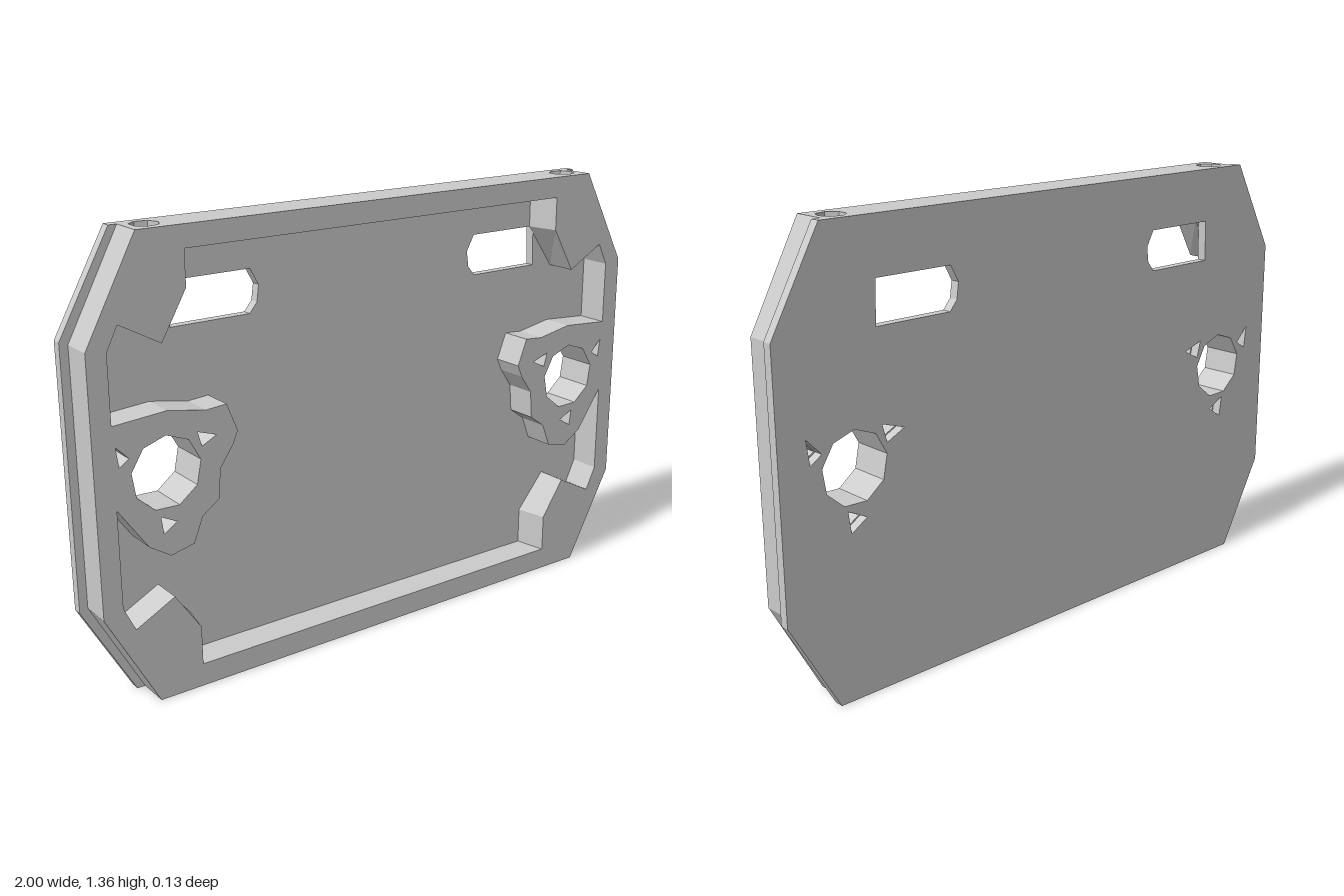
import * as THREE from 'three';

const H = 1.36, BACK = -0.064, STEP = -0.034, FRONT = 0.067;
const POCKET_X = 0.675;

const mirrorX = (pts) => pts.map(([x, y]) => [-x, y]);

// Path or shape that always runs counter-clockwise, so every wall faces out
function path(pts, Type = THREE.Path) {
  const v = pts.map(([x, y]) => new THREE.Vector2(x, y));
  return new Type(THREE.ShapeUtils.isClockWise(v) ? v.reverse() : v);
}

// Closes a right-hand profile (top to bottom) with its mirror image
const symmetric = (half) => [...half, ...mirrorX(half).reverse()];

// Polygon with n sides
const ngon = (cx, cy, r, n, turn = 0) => Array.from({ length: n }, (_, i) => {
  const a = turn + (i / n) * Math.PI * 2;
  return [cx + r * Math.cos(a), cy + r * Math.sin(a)];
});

// Enlarges a polygon about its middle
function grow(pts, s) {
  const cx = pts.reduce((t, p) => t + p[0], 0) / pts.length;
  const cy = pts.reduce((t, p) => t + p[1], 0) / pts.length;
  return pts.map(([x, y]) => [cx + (x - cx) * s, cy + (y - cy) * s]);
}

// Screw-block recess cut into the top and bottom edges
const BX0 = 0.7, BX1 = 0.81, BDEPTH = 0.16;

// Eight-sided outline with a recess for each screw block
function outline(edgeX, sideX, cornerY) {
  return symmetric([
    [BX0, H], [BX0, H - BDEPTH], [BX1, H - BDEPTH], [BX1, H],
    [edgeX, H], [sideX, H - cornerY], [sideX, cornerY], [edgeX, 0],
    [BX1, 0], [BX1, BDEPTH], [BX0, BDEPTH], [BX0, 0],
  ]);
}

// Right half of the front pocket, running round the mount and corner tabs
const pocketHalf = [
  [POCKET_X, 1.295], [POCKET_X, 1.19], [0.755, 1.05], [0.88, 1.12], [0.915, 1.05],
  [0.915, 0.85], [0.75, 0.862], [0.63, 0.84], [0.565, 0.845], [0.532, 0.76],
  [0.55, 0.72], [0.592, 0.66], [0.6, 0.57], [0.655, 0.53], [0.685, 0.455], [0.76, 0.438],
  [0.825, 0.48], [0.915, 0.61],
  [0.915, 0.32], [0.88, 0.245], [0.755, 0.31], [POCKET_X, 0.19], [POCKET_X, 0.07],
];

const slot = [[0.675, 1.06], [0.67, 1.19], [0.415, 1.19], [0.388, 1.14], [0.395, 1.09], [0.42, 1.06]];
const bore = ngon(0.76, 0.685, 0.108, 9, 0.2);
const pinHoles = [
  [[0.908, 0.79], [0.87, 0.75], [0.9, 0.73]],
  [[0.66, 0.782], [0.6, 0.762], [0.648, 0.738]],
  [[0.785, 0.56], [0.735, 0.535], [0.778, 0.507]],
];

function extrude(shape, z0, z1) {
  const g = new THREE.ExtrudeGeometry(shape, { depth: z1 - z0, bevelEnabled: false });
  return g.translate(0, 0, z0);
}

export function createModel() {
  const group = new THREE.Group();
  const material = new THREE.MeshStandardMaterial({ color: 0xcccccc, flatShading: true });
  const add = (name, geometry) => {
    const mesh = new THREE.Mesh(geometry, material);
    mesh.name = name;
    group.add(mesh);
    return mesh;
  };
  const cutBothSides = (shape, pts) =>
    shape.holes.push(path(pts), path(mirrorX(pts)));

  // Back plate, slightly wider than the frame
  const plate = path(outline(0.84, 1, 0.29), THREE.Shape);
  [slot, bore, ...pinHoles.map((t) => grow(t, 1.25))].forEach((h) => cutBothSides(plate, h));
  add('backPlate', extrude(plate, BACK, STEP));

  // Front frame with pocket and side mounts
  const frame = path(outline(0.815, 0.975, 0.3), THREE.Shape);
  frame.holes.push(path(symmetric(pocketHalf)));
  [bore, ...pinHoles].forEach((h) => cutBothSides(frame, h));
  const frameGeo = extrude(frame, STEP, FRONT);
  // Slope the short pocket walls inward towards the floor
  const p = frameGeo.attributes.position;
  for (let i = 0; i < p.count; i++) {
    const x = p.getX(i);
    if (p.getZ(i) < 0 && Math.abs(Math.abs(x) - POCKET_X) < 1e-4) p.setX(i, Math.sign(x) * 0.655);
  }
  frameGeo.computeVertexNormals();
  add('frontFrame', frameGeo);

  // Corner blocks with screw holes in the top and bottom edges
  const block = path([[BX0, -FRONT], [BX1, -FRONT], [BX1, -BACK], [BX0, -BACK]], THREE.Shape);
  block.holes.push(path(ngon(0.757, 0, 0.042, 7)));
  const blockGeo = new THREE.ExtrudeGeometry(block, { depth: BDEPTH, bevelEnabled: false });
  blockGeo.rotateX(-Math.PI / 2);
  for (const side of [1, -1]) {
    for (const y of [0, H - BDEPTH]) {
      const mesh = add(y ? 'topScrewBlock' : 'bottomScrewBlock', blockGeo);
      mesh.position.y = y;
      if (side < 0) mesh.position.x = -(BX0 + BX1);
    }
  }
  return group;
}
